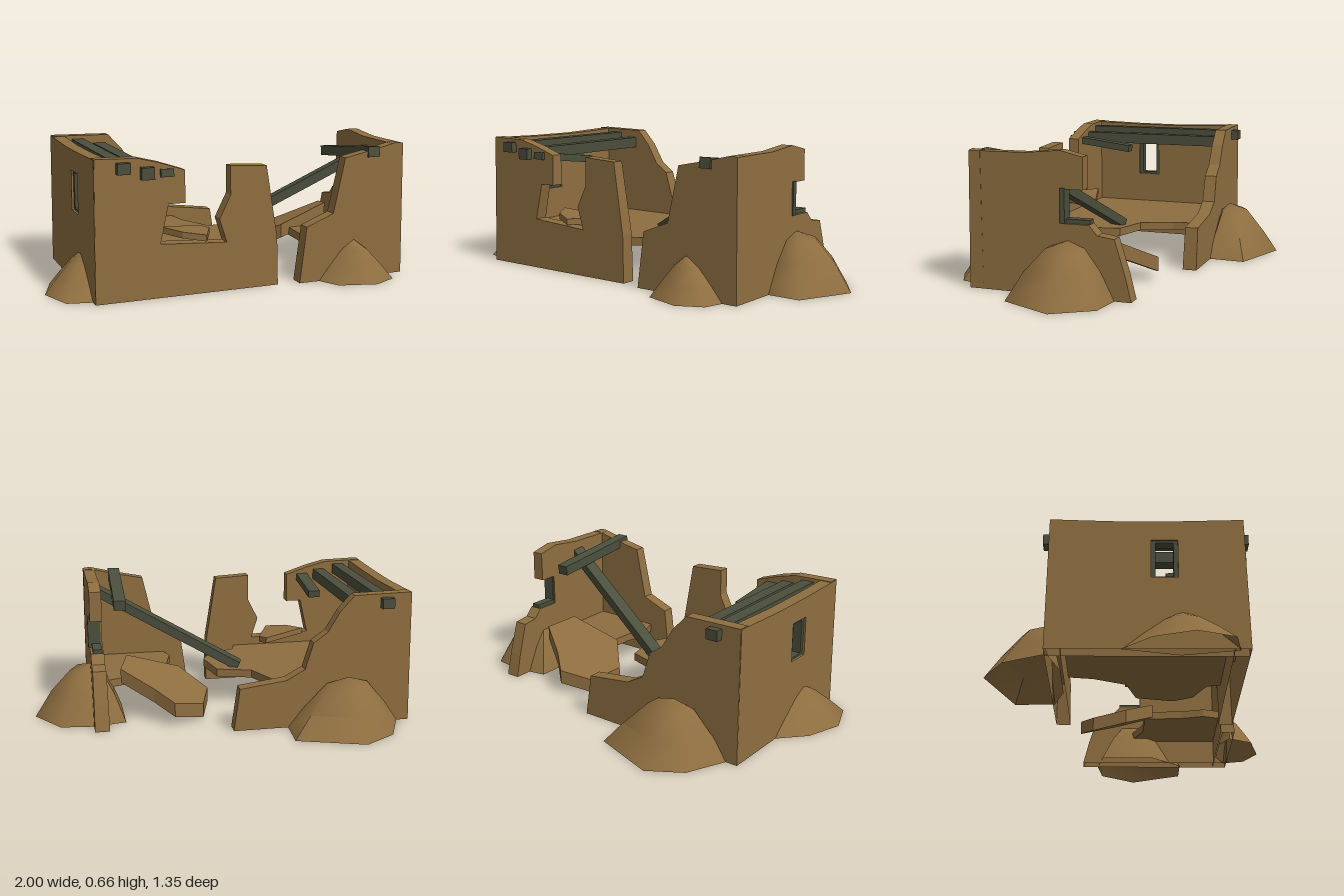
import * as THREE from 'three';
import { toCreasedNormals } from 'three/addons/utils/BufferGeometryUtils.js';

export function createModel() {
  const root = new THREE.Group();
  root.name = 'ruinedHouse';
  // Walls and heaps are open underneath, so clay shows from both sides
  const clay = new THREE.MeshStandardMaterial({ color: 0x8e6e40, side: THREE.DoubleSide });
  clay.name = 'clay';
  const wood = new THREE.MeshStandardMaterial({ color: 0x4b4f3d });
  wood.name = 'weatheredWood';

  const add = (name, geo, mat = clay) => {
    const m = new THREE.Mesh(geo, mat);
    m.name = name;
    root.add(m);
    return m;
  };
  const toShape = (pts) => new THREE.Shape(pts.map((p) => new THREE.Vector2(p[0], p[1])));
  const extrude = (shape, depth) => new THREE.ExtrudeGeometry(shape, { depth, bevelEnabled: false });

  // Wall body: open at the ground and slightly thinner towards the top
  const wallBody = (shape, t) => {
    const src = extrude(shape, t).attributes.position;
    const pos = [];
    for (let i = 0; i < src.count; i += 3) {
      if (Math.max(src.getY(i), src.getY(i + 1), src.getY(i + 2)) < 1e-4) continue;
      for (let j = i; j < i + 3; j++) {
        const y = src.getY(j);
        pos.push(src.getX(j), y, t / 2 + (src.getZ(j) - t / 2) * (1 - 0.3 * y));
      }
    }
    const g = new THREE.BufferGeometry();
    g.setAttribute('position', new THREE.Float32BufferAttribute(pos, 3));
    g.computeVertexNormals();
    return g;
  };
  // Wall running along x, occupying z0..z0+t
  const wallX = (name, pts, z0, t = 0.07) => add(name, wallBody(toShape(pts), t).translate(0, 0, z0));
  // Wall running along z, profile given as (z, y), outer limit at x = xMax
  const wallZ = (name, pts, xMax, t, hole) => {
    const s = toShape(pts);
    if (hole) s.holes.push(new THREE.Path(hole.map((p) => new THREE.Vector2(p[0], p[1]))));
    return add(name, wallBody(s, t).rotateY(-Math.PI / 2).translate(xMax, 0, 0));
  };
  // Flat broken slab from an (x, z) outline, its underside following a rule y = f(x, z)
  const slab = (name, pts, t, f) => {
    const g = extrude(toShape(pts.map(([x, z]) => [x, -z])), t).rotateX(-Math.PI / 2);
    const p = g.attributes.position;
    for (let i = 0; i < p.count; i++) p.setY(i, p.getY(i) + f(p.getX(i), p.getZ(i)));
    g.computeVertexNormals();
    return add(name, g);
  };
  // Rubble heap: footprint rings shrinking towards a peak
  const mound = (name, cx, cz, h, foot, profile) => {
    const ring = [...foot].sort((a, b) => Math.atan2(a[1] - cz, a[0] - cx) - Math.atan2(b[1] - cz, b[0] - cx));
    const n = ring.length, pos = [], idx = [];
    for (const [r, y] of profile)
      for (const [x, z] of ring) pos.push(cx + (x - cx) * r, y * h, cz + (z - cz) * r);
    const top = n * profile.length;
    pos.push(cx, h, cz);
    for (let j = 0; j < n; j++) {
      const k = (j + 1) % n;
      for (let i = 0; i < profile.length - 1; i++) {
        const a = i * n + j, b = i * n + k;
        idx.push(a, a + n, b, b, a + n, b + n);
      }
      idx.push(top - n + j, top, top - n + k);
    }
    const g = new THREE.BufferGeometry();
    g.setAttribute('position', new THREE.Float32BufferAttribute(pos, 3));
    g.setIndex(idx);
    return add(name, toCreasedNormals(g, 1));
  };
  const broad = [[1, 0], [0.72, 0.42], [0.36, 0.88]];
  const steep = [[1, 0], [0.7, 0.36], [0.35, 0.74]];
  const box = (name, x0, x1, y0, y1, z0, z1) =>
    add(name, new THREE.BoxGeometry(x1 - x0, y1 - y0, z1 - z0)
      .translate((x0 + x1) / 2, (y0 + y1) / 2, (z0 + z1) / 2), wood);
  // Timber between two points
  const beam = (name, a, b, w, t) => {
    const A = new THREE.Vector3(...a), B = new THREE.Vector3(...b);
    const m = add(name, new THREE.BoxGeometry(w, t, A.distanceTo(B)), wood);
    m.position.copy(A).add(B).multiplyScalar(0.5);
    m.lookAt(B);
  };

  // Larger half of the house
  wallX('frontWall', [[-0.825, 0], [0.06, 0], [0.055, 0.23], [0, 0.575], [-0.18, 0.585], [-0.18, 0.45],
    [-0.235, 0.34], [-0.2, 0.23], [-0.52, 0.25], [-0.48, 0.43], [-0.4, 0.43], [-0.4, 0.58], [-0.52, 0.62],
    [-0.62, 0.645], [-0.815, 0.65]], 0.425);
  wallX('backWall', [[-0.825, 0], [0.06, 0], [0.03, 0.21], [-0.2, 0.24], [-0.29, 0.29], [-0.33, 0.42],
    [-0.4, 0.47], [-0.46, 0.57], [-0.53, 0.645], [-0.815, 0.65]], -0.39);
  wallZ('sideWall', [[-0.388, 0], [0.493, 0], [0.485, 0.648], [0.2, 0.64], [-0.05, 0.638], [-0.38, 0.648]],
    -0.75, 0.075, [[0.07, 0.35], [0.19, 0.35], [0.19, 0.54], [0.07, 0.54]]);
  slab('floor', [[-0.77, -0.34], [-0.19, -0.33], [-0.17, -0.2], [-0.1, -0.04], [0.07, 0.01], [0.11, 0.2],
    [0.06, 0.3], [-0.08, 0.36], [-0.1, 0.44], [-0.77, 0.44]], 0.04, () => 0.15);
  slab('fallenBlock', [[-0.47, 0.34], [-0.25, 0.27], [-0.22, 0.32], [-0.3, 0.5], [-0.4, 0.45]], 0.03,
    (x) => 0.25 - 0.12 * (x + 0.35));

  // Smaller half of the house
  wallX('frontWallStub', [[0.165, 0], [0.72, 0], [0.715, 0.645], [0.68, 0.65], [0.55, 0.62], [0.4, 0.59],
    [0.34, 0.325], [0.2, 0.27]], 0.447);
  wallZ('sideWallStub', [[-0.28, 0], [0.515, 0], [0.508, 0.645], [0.23, 0.646], [0.06, 0.663], [-0.05, 0.638],
    [-0.05, 0.49], [0.04, 0.49], [0.04, 0.335], [-0.08, 0.335], [-0.12, 0.29], [-0.2, 0.28], [-0.25, 0.12]],
  0.72, 0.072);
  slab('floorStub', [[0.31, 0.06], [0.5, 0.05], [0.66, -0.02], [0.66, 0.46], [0.3, 0.46], [0.27, 0.37],
    [0.3, 0.25]], 0.04, () => 0.13);
  slab('fallenSlab', [[0.13, -0.04], [0.18, -0.21], [0.33, -0.28], [0.42, -0.2], [0.575, -0.1],
    [0.53, 0.06], [0.26, 0.1]], 0.07, (x, z) => 0.04 + 0.36 * (x - 0.13) + 0.25 * (z + 0.04));

  // Rubble heaps
  mound('backMound', -0.5, -0.42, 0.25, [[-0.77, -0.38], [-0.68, -0.58], [-0.52, -0.68], [-0.2, -0.57],
    [-0.21, -0.38], [-0.35, -0.33], [-0.6, -0.33]], broad);
  mound('sideMoundRight', -0.8, 0.2, 0.19, [[-0.82, -0.06], [-0.94, 0.07], [-1, 0.25], [-0.94, 0.42],
    [-0.81, 0.45], [-0.76, 0.2]], steep);
  mound('sideMoundLeft', 0.72, 0.02, 0.26, [[1, 0], [0.88, -0.18], [0.72, -0.2], [0.56, -0.17], [0.56, 0.1],
    [0.7, 0.26], [0.88, 0.26]], [[1, 0], [0.7, 0.5], [0.36, 0.88]]);
  mound('frontMound', 0.45, 0.52, 0.19, [[0.26, 0.5], [0.32, 0.62], [0.5, 0.67], [0.62, 0.61], [0.65, 0.5],
    [0.55, 0.45], [0.35, 0.45]], steep);

  // Roof beams; the two broken ones sag inwards
  box('roofBeamOuter', -0.72, -0.66, 0.58, 0.63, -0.42, 0.52);
  box('roofBeamMiddle', -0.61, -0.55, 0.55, 0.605, -0.34, 0.52);
  beam('roofBeamBroken', [-0.487, 0.574, 0.505], [-0.48, 0.53, 0.15], 0.06, 0.036);
  beam('roofBeamStub', [0.55, 0.612, 0.52], [0.56, 0.55, 0.01], 0.06, 0.05);
  beam('fallenBeam', [-0.05, 0.195, 0.05], [0.67, 0.585, 0.25], 0.065, 0.045);

  // Window frames
  box('frameSillRight', -0.81, -0.765, 0.335, 0.36, 0.06, 0.2);
  box('frameLintelRight', -0.81, -0.765, 0.53, 0.55, 0.06, 0.2);
  for (const z of [0.07, 0.17]) box('framePostRight', -0.81, -0.765, 0.35, 0.54, z, z + 0.02);
  box('framePostLeft', 0.66, 0.722, 0.335, 0.495, 0.035, 0.06);
  box('frameSillLeft', 0.66, 0.705, 0.33, 0.355, -0.08, 0.045);
  return root;
}
